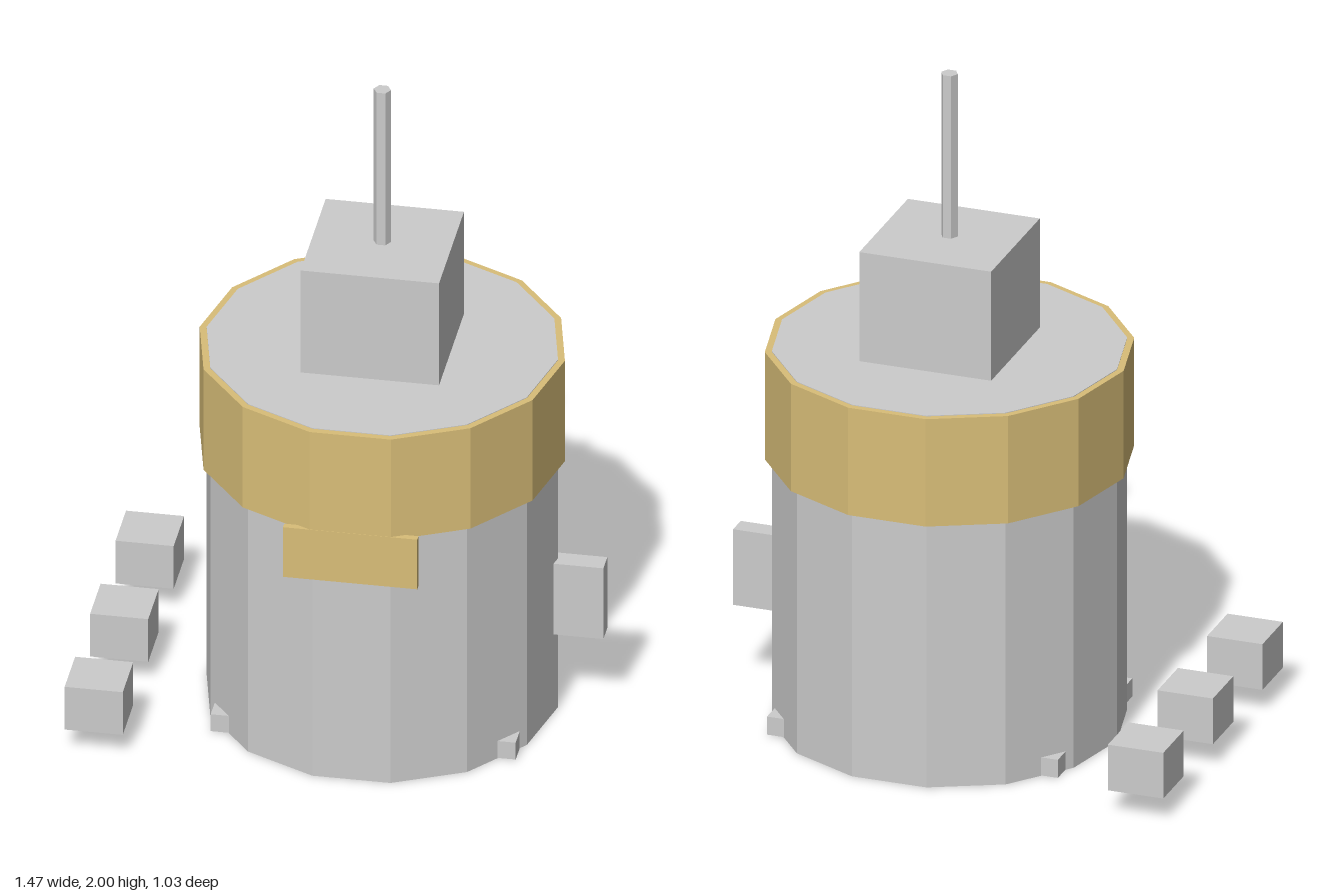
import * as THREE from 'three';

const CX = 0.092; // axis of the canister

export function createModel() {
  const model = new THREE.Group();
  const grey = new THREE.MeshStandardMaterial({ color: 0xcccccc, flatShading: true });
  const gold = new THREE.MeshStandardMaterial({ color: 0xd9be78, flatShading: true });

  function add(name, geometry, material, x, y, z) {
    const mesh = new THREE.Mesh(geometry, material);
    mesh.name = name;
    mesh.position.set(x, y, z);
    model.add(mesh);
  }
  // box given by its limits on each axis
  function box(name, material, [x0, x1], [y0, y1], [z0, z1]) {
    add(name, new THREE.BoxGeometry(x1 - x0, y1 - y0, z1 - z0), material,
      (x0 + x1) / 2, (y0 + y1) / 2, (z0 + z1) / 2);
  }
  // upright prism with corners on the x axis
  function prism(name, material, radius, sides, y0, y1) {
    add(name, new THREE.CylinderGeometry(radius, radius, y1 - y0, sides, 1, false, Math.PI / 2),
      material, CX, (y0 + y1) / 2, -0.002);
  }

  // canister and its collar
  prism('body', grey, 0.508, 14, 0, 1.156);
  prism('collar', gold, 0.528, 14, 0.82, 1.154);

  // top block and rod
  box('topBlock', grey, [CX - 0.2, CX + 0.2], [1.156, 1.495], [-0.202, 0.198]);
  prism('rod', grey, 0.025, 6, 1.495, 2);

  // front plate and side handle
  box('frontPlate', gold, [-0.102, 0.286], [0.665, 0.83], [0.494, 0.514]);
  box('sideHandle', grey, [0.585, 0.737], [0.26, 0.495], [-0.033, 0.03]);

  // four feet around the base
  for (const sx of [-1, 1]) {
    for (const sz of [-1, 1]) {
      const x = CX + sx * 0.414, z = sz * 0.275 - 0.001;
      box('foot', grey, [x - 0.027, x + 0.027], [0.001, 0.057], [z - 0.031, z + 0.031]);
    }
  }

  // row of loose blocks beside the canister
  for (const z of [-0.411, -0.003, 0.405]) {
    box('looseBlock', grey, [-0.738, -0.57], [0.074, 0.216], [z - 0.084, z + 0.084]);
  }
  return model;
}
